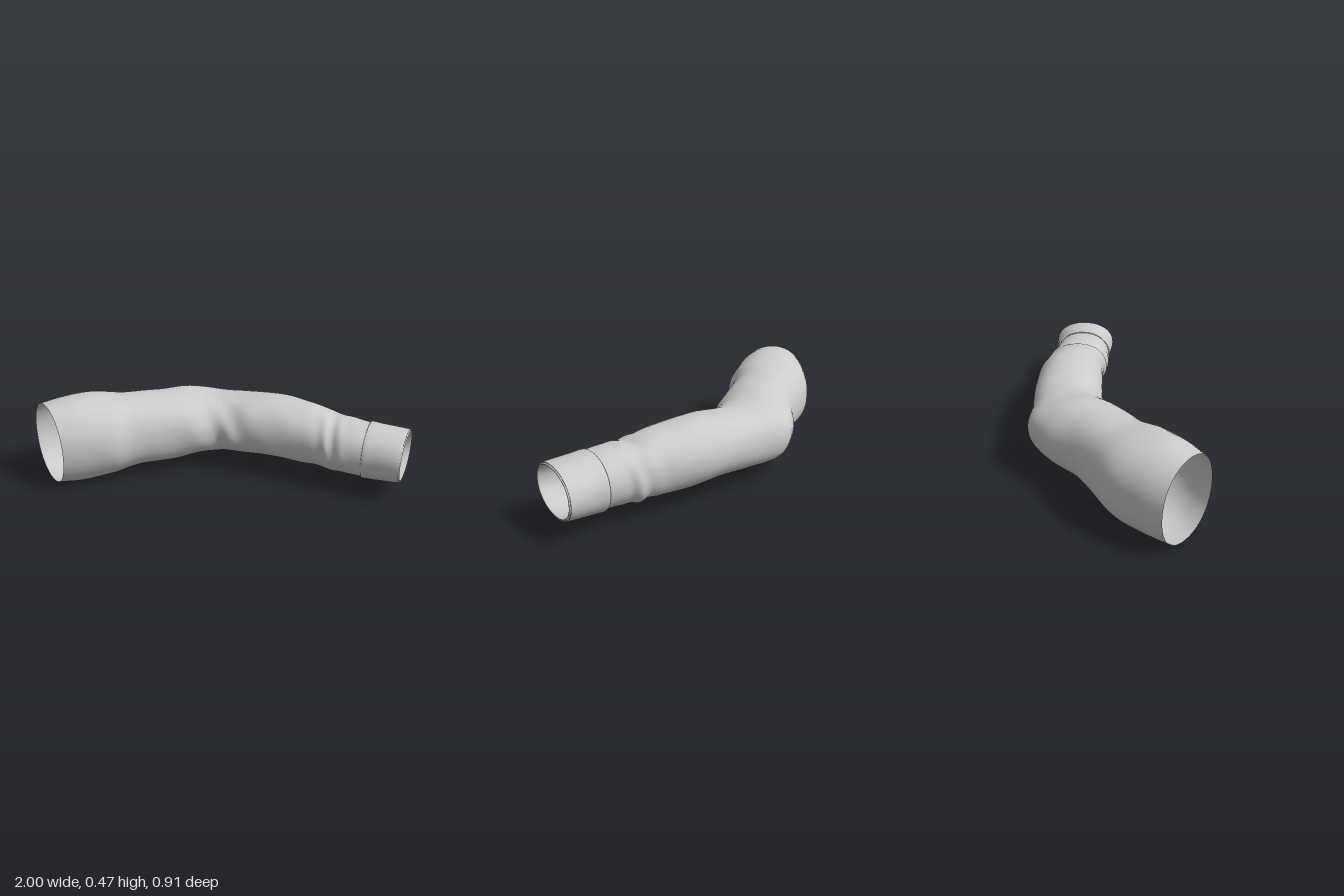
import * as THREE from 'three';

const SIDES = 56;

// Each section: back edge x, z, front edge x, z, bottom y, top y
const SLEEVE = [
  [-1.0, 0.2, -0.69, 0.45, 0.015, 0.455],
  [-0.91, 0.08, -0.58, 0.38, 0.002, 0.472],
  [-0.78, -0.06, -0.47, 0.3, 0.012, 0.468],
  [-0.6, -0.16, -0.4, 0.21, 0.035, 0.442],
  [-0.47, -0.25, -0.28, 0.12, 0.042, 0.438],
  [-0.36, -0.37, -0.14, 0.02, 0.055, 0.432],
  [-0.24, -0.45, -0.03, -0.055, 0.07, 0.41],
  [-0.08, -0.45, 0.06, -0.067, 0.08, 0.408],
  [0.13, -0.452, 0.17, -0.072, 0.085, 0.422],
  [0.3, -0.447, 0.33, -0.073, 0.085, 0.424],
  [0.43, -0.432, 0.45, -0.075, 0.083, 0.412],
  [0.54, -0.408, 0.54, -0.068, 0.085, 0.392],
  [0.63, -0.4, 0.61, -0.052, 0.08, 0.374],
  [0.7, -0.378, 0.69, -0.045, 0.08, 0.372],
  [0.8, -0.362, 0.79, -0.042, 0.08, 0.362],
];
const CUFF = [
  [0.79, -0.358, 0.78, -0.046, 0.084, 0.36],
  [0.795, -0.372, 0.785, -0.036, 0.073, 0.37],
  [0.85, -0.37, 0.84, -0.033, 0.075, 0.366],
  [0.92, -0.374, 0.91, -0.024, 0.082, 0.36],
  [0.99, -0.376, 0.972, -0.016, 0.09, 0.354],
  [0.995, -0.37, 0.977, -0.022, 0.095, 0.349],
  [0.985, -0.358, 0.967, -0.034, 0.106, 0.338],
  [0.8, -0.346, 0.79, -0.058, 0.098, 0.344],
];

// Smooth interpolation through the section table
function sectionAt(rows, t) {
  const f = t * (rows.length - 1);
  const i = Math.min(Math.floor(f), rows.length - 2), k = f - i;
  const row = (n) => rows[Math.max(0, Math.min(rows.length - 1, n))];
  return rows[i].map((p1, c) => {
    const p0 = row(i - 1)[c], p2 = row(i + 1)[c], p3 = row(i + 2)[c];
    return p1 + 0.5 * k * (p2 - p0 + k * (2 * p0 - 5 * p1 + 4 * p2 - p3 + k * (3 * (p1 - p2) + p3 - p0)));
  });
}

// Cloth folds: soft diagonal ripples, deepest at the elbow and above the cuff
function folds(t, a) {
  const bump = (c, w) => Math.exp(-(((t - c) / w) ** 2));
  const ends = Math.min(1, t * 8, (1 - t) * 12);
  return ends * (
    0.012 * Math.sin(27 * t + 2 * a) * Math.sin(a * 3 - 9 * t + 1)
    + 0.03 * bump(0.47, 0.12) * Math.max(0, Math.cos(a)) * Math.sin(55 * t + 3 * a)
    + 0.035 * bump(0.85, 0.07) * Math.sin(70 * t + 2 * a) * Math.cos(a - 0.6)
    + 0.008 * Math.sin(48 * t - 3 * a + 2));
}

// Tube skin lofted through the sections
function loft(rows, steps, ripple) {
  const pos = [], index = [];
  for (let i = 0; i <= steps; i++) {
    const t = i / steps;
    const [bx, bz, fx, fz, y0, y1] = sectionAt(rows, t);
    for (let j = 0; j < SIDES; j++) {
      const a = (j / SIDES) * Math.PI * 2;
      const s = 1 + ripple(t, a);
      const round = (v) => Math.sign(v) * Math.abs(v) ** 0.94;
      const c = round(Math.cos(a)) * s * 0.5, h = round(Math.sin(a)) * s * 0.5;
      pos.push((bx + fx) / 2 + (fx - bx) * c, Math.max(0, (y0 + y1) / 2 + (y1 - y0) * h), (bz + fz) / 2 + (fz - bz) * c);
      if (i < steps) {
        const p = i * SIDES + j, q = i * SIDES + ((j + 1) % SIDES);
        index.push(p, p + SIDES, q, q, p + SIDES, q + SIDES);
      }
    }
  }
  const geo = new THREE.BufferGeometry();
  geo.setAttribute('position', new THREE.Float32BufferAttribute(pos, 3));
  geo.setIndex(index);
  geo.computeVertexNormals();
  return geo;
}

export function createModel() {
  const group = new THREE.Group();
  group.name = 'bentSleeve';
  const cloth = new THREE.MeshStandardMaterial({ color: 0xcccccc, roughness: 0.9, side: THREE.DoubleSide });
  const add = (name, geo) => {
    const mesh = new THREE.Mesh(geo, cloth);
    mesh.name = name;
    group.add(mesh);
  };
  // Open fabric tube from the upper arm to the wrist
  add('sleeve', loft(SLEEVE, 140, folds));
  // Wrist band with its hem turned inside
  add('cuff', loft(CUFF, 42, () => 0));
  return group;
}
